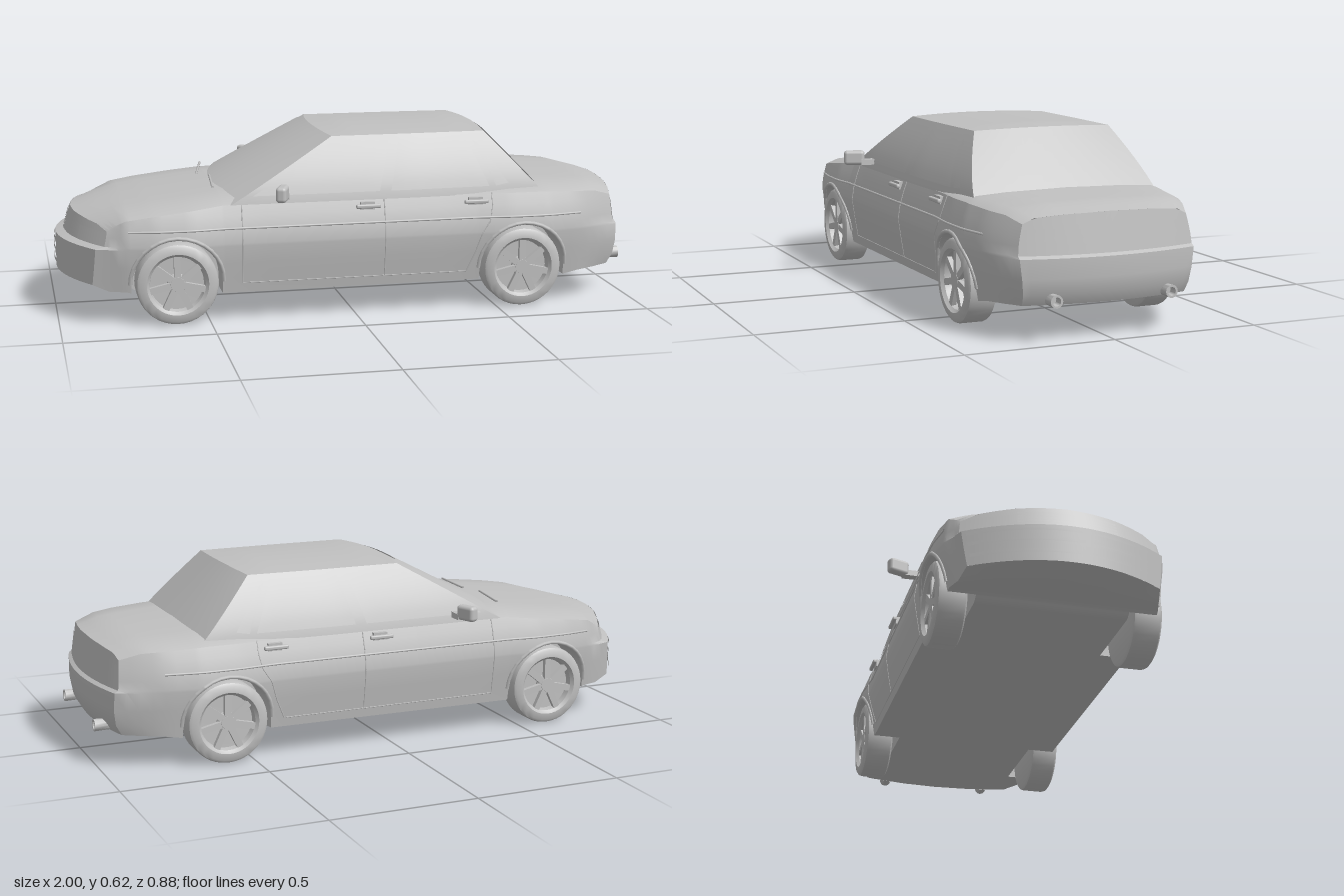
import * as THREE from 'three';
import { toCreasedNormals } from 'three/addons/utils/BufferGeometryUtils.js';
import { RoundedBoxGeometry } from 'three/addons/geometries/RoundedBoxGeometry.js';

const clamp = (v) => Math.min(1, Math.max(0, v));
const lerp = THREE.MathUtils.lerp;
// piecewise linear curve through [position, value] pairs
function curve(pts) {
  return (x) => {
    if (x <= pts[0][0]) return pts[0][1];
    for (let i = 1; i < pts.length; i++) {
      const [a, va] = pts[i - 1], [b, vb] = pts[i];
      if (x <= b) return lerp(va, vb, (x - a) / (b - a));
    }
    return pts[pts.length - 1][1];
  };
}

// body dimensions: the nose is at -x
const NOSE = -0.992, TAIL = 0.998, WHEELS = [-0.61, 0.59], AXLE = 0.14, ARCH = 0.152;
const halfWidth = curve([[-1, 0.325], [-0.88, 0.345], [-0.78, 0.362], [-0.68, 0.378], [-0.56, 0.383], [-0.45, 0.37],
  [0.42, 0.37], [0.55, 0.383], [0.68, 0.383], [0.8, 0.362], [0.9, 0.335], [1, 0.3]]);
const topY = curve([[-1, 0.348], [-0.9, 0.368], [-0.7, 0.397], [-0.45, 0.425], [0.66, 0.428], [0.9, 0.416], [1, 0.395]]);
const sillY = curve([[-1, 0.14], [-0.88, 0.115], [-0.77, 0.115], [-0.74, 0.095], [0.74, 0.1], [0.8, 0.11], [1, 0.115]]);
const bulge = curve([[0.1, 0.93], [0.2, 0.975], [0.265, 1], [0.31, 0.985], [0.36, 0.945], [0.4, 0.905], [0.43, 0.87]]);
const bodyZ = (x, y) => halfWidth(x) * bulge(y);
function bottomY(x) {
  let y = sillY(x);
  for (const c of WHEELS) {
    const d = Math.abs(x - c);
    if (d <= ARCH + 1e-6) y = AXLE + Math.sqrt(Math.max(0, ARCH * ARCH - d * d));
  }
  return y;
}
// bow the ends in plan and step them back above the bumpers
function bodyPoint(s, y, z) {
  const f = clamp((-0.78 - s) / 0.22), r = clamp((s - 0.8) / 0.2), k = z / halfWidth(s);
  const up = y > 0.266 ? y - 0.266 : -1;
  const x = s + f * (0.12 * k * k + (up >= 0 ? 0.03 + up * 0.3 : 0))
    - r * (0.045 * k * k + (up >= 0 ? 0.012 + up * 0.15 : 0) + Math.max(0, 0.165 - y) * 0.6);
  return [x, y, z];
}
const LEVELS = [0.15, 0.2, 0.262, 0.27, 0.3, 0.33, 0.36];
const shoulderY = (s) => topY(s) - 0.03;
const crown = (s, z) => topY(s) - curve([[0, 0], [0.5, 0.004], [0.82, 0.012], [bulge(shoulderY(s)), 0.03]])(Math.abs(z) / halfWidth(s));
// half cross-section from the middle of the floor to the middle of the top
function halfSection(s) {
  const w = halfWidth(s), yu = sillY(s), yb = bottomY(s), ys = shoulderY(s);
  const p = [[yu, 0], [yu, 0.125], [yu, 0.25], [yb, 0.25], [yb, w * bulge(yb)]];
  for (const l of LEVELS) { const y = Math.min(Math.max(l, yb), ys); p.push([y, w * bulge(y)]); }
  p.push([ys, w * bulge(ys)]);
  for (const k of [0.82, 0.5, 0.25, 0]) p.push([crown(s, k * w), k * w]);
  return p;
}

export function createModel() {
  const car = new THREE.Group();
  car.name = 'car';
  const paint = new THREE.MeshStandardMaterial({ color: 0xc0c0c0, side: THREE.DoubleSide });
  paint.name = 'greyPaint';

  const add = (name, geo, parent = car) => {
    const m = new THREE.Mesh(geo, paint);
    m.name = name;
    parent.add(m);
    return m;
  };
  // surface from f(u, v), u and v from 0 to 1
  function patch(name, f, nu, nv, crease = 0.5) {
    const pos = [], idx = [];
    for (let i = 0; i <= nu; i++) for (let j = 0; j <= nv; j++) pos.push(...f(i / nu, j / nv));
    for (let i = 0; i < nu; i++) for (let j = 0; j < nv; j++) {
      const a = i * (nv + 1) + j, b = a + nv + 1;
      idx.push(a, b, a + 1, b, b + 1, a + 1);
    }
    const g = new THREE.BufferGeometry();
    g.setAttribute('position', new THREE.Float32BufferAttribute(pos, 3));
    g.setIndex(idx);
    g.computeVertexNormals();
    return add(name, toCreasedNormals(g, crease));
  }
  const line = (name, pts, r = 0.003) => {
    const path = new THREE.CatmullRomCurve3(pts.map((p) => new THREE.Vector3(...p)), false, 'catmullrom', 0);
    return add(name, new THREE.TubeGeometry(path, pts.length * 6, r, 6));
  };

  // lower body shell, with stations packed around the wheel arches
  const stations = [NOSE, -0.96, -0.92, -0.88, -0.83, -0.78, -0.45, -0.3, -0.1, 0.1, 0.3, 0.42, 0.76, 0.8, 0.85, 0.9, 0.95, TAIL];
  for (const c of WHEELS) {
    for (let i = 0; i <= 20; i++) stations.push(c - ARCH * Math.cos(Math.PI * i / 20));
    stations.push(c - ARCH - 0.001, c + ARCH + 0.001);
  }
  stations.sort((a, b) => a - b);
  const rings = stations.map((s) => {
    const h = halfSection(s);
    const other = h.slice(0, -1).reverse().map(([y, z]) => [y, -z]);
    return [...h, ...other].map(([y, z]) => bodyPoint(s, y, z));
  });
  const nS = rings.length - 1, nR = rings[0].length - 1;
  patch('bodyShell', (u, v) => rings[Math.round(u * nS)][Math.round(v * nR)], nS, nR, 0.6);

  // nose and tail faces
  for (const [name, s] of [['noseFace', NOSE], ['tailFace', TAIL]]) {
    const rows = halfSection(s).slice(4, 6 + LEVELS.length), n = rows.length - 1;
    patch(name, (u, v) => {
      const i = Math.round(u * n), [y, zw] = rows[i], z = (v * 2 - 1) * zw;
      return bodyPoint(s, i === n ? crown(s, z) : y, z);
    }, n, 24);
  }

  // thin plates following the nose or tail
  function endPlate(name, s, k0, k1, y0, y1, off = 0.004) {
    patch(name, (u, v) => {
      const y = lerp(y0, y1, u), p = bodyPoint(s, y, lerp(k0, k1, v) * bodyZ(s, y));
      p[0] += Math.sign(s) * off;
      return p;
    }, 2, 12);
  }
  for (let i = 0; i < 5; i++) endPlate('grilleBar', NOSE, -0.5, 0.5, 0.274 + i * 0.012, 0.281 + i * 0.012);
  for (const y of [0.165, 0.205, 0.24]) endPlate('bumperStrip', NOSE, -0.97, 0.97, y, y + 0.012, 0.006);
  for (const d of [-1, 1]) {
    endPlate('headlight', NOSE, 0.57 * d, 0.99 * d, 0.272, 0.318);
    endPlate('fogLight', NOSE, 0.62 * d, 0.85 * d, 0.182, 0.2);
    endPlate('tailLight', TAIL, 0.62 * d, 0.98 * d, 0.274, 0.35, 0.002);
  }
  endPlate('bootSeam', TAIL, -0.6, 0.6, 0.317, 0.321, 0.002);

  // cabin: sloping screens, tucked-in sides and a crowned roof
  const cabY = (t) => 0.395 + 0.207 * t, cabW = (t) => 0.342 - 0.09 * Math.pow(clamp(t), 1.35);
  const taper = (x) => 1 - 0.05 * clamp((x - 0.2) / 0.47);
  const front = (k, t) => [-0.5 + 0.41 * t + lerp(0.075, 0.025, t) * k * k, cabY(t) + 0.006 * (1 - k * k) * t, k * cabW(t)];
  const rear = (k, t) => {
    const x = 0.685 - 0.195 * t - 0.015 * k * k;
    return [x, cabY(t) + 0.006 * (1 - k * k) * t, k * cabW(t) * taper(x)];
  };
  const cabinZ = (x, y) => cabW((y - 0.395) / 0.207) * taper(x);
  patch('windscreenSurround', (u, v) => front(v * 2 - 1, u), 8, 16);
  patch('rearScreenSurround', (u, v) => rear(v * 2 - 1, u), 8, 16);
  patch('roof', (u, v) => {
    const k = v * 2 - 1, a = front(k, 1), b = rear(k, 1), x = lerp(a[0], b[0], u);
    const rise = 0.007 * (1 - k * k) * Math.min(1, 6 * u, 6 * (1 - u));
    return [x, lerp(a[1], b[1], u) + rise, k * cabW(1) * taper(x)];
  }, 18, 16);
  const glass = (f, dx) => (u, v) => {
    const p = f((v * 2 - 1) * 0.93, lerp(0.12, 0.95, u));
    return [p[0] + dx, p[1] + 0.003, p[2]];
  };
  patch('windscreen', glass(front, -0.002), 8, 16);
  patch('rearScreen', glass(rear, 0.002), 8, 16);

  // parts on both sides
  const windows = {
    frontWindow: [[-0.35, 0.422], [0.085, 0.422], [0.13, 0.584], [-0.07, 0.584]],
    rearWindow: [[0.125, 0.422], [0.475, 0.422], [0.405, 0.584], [0.165, 0.584]],
    quarterWindow: [[0.5, 0.422], [0.545, 0.43], [0.445, 0.565], [0.428, 0.575]],
  };
  for (const d of [1, -1]) {
    patch('cabinSide', (u, t) => {
      const x = lerp(front(1, t)[0], rear(1, t)[0], u);
      return [x, cabY(t), d * cabW(t) * taper(x)];
    }, 12, 8);
    for (const [name, [a, b, c, e]] of Object.entries(windows)) patch(name, (u, v) => {
      const x = lerp(lerp(a[0], b[0], u), lerp(e[0], c[0], u), v), y = lerp(lerp(a[1], b[1], u), lerp(e[1], c[1], u), v);
      return [x, y, d * (cabinZ(x, y) + 0.003)];
    }, 6, 6);

    // side moulding and door gaps
    const onSide = (pts) => pts.map(([x, y]) => [x, y, d * bodyZ(x, y)]);
    line('sideMoulding', onSide([[-0.77, 0.32], [-0.68, 0.32], [-0.56, 0.32], [-0.45, 0.32], [0.42, 0.32], [0.55, 0.32], [0.68, 0.32], [0.8, 0.32]]), 0.004);
    const rise = [0.13, 0.2, 0.265, 0.31, 0.36, 0.4];
    line('frontDoorGap', onSide(rise.map((y) => [-0.39, y])), 0.002);
    line('middleDoorGap', onSide(rise.map((y) => [0.1, y])), 0.002);
    line('rearDoorGap', onSide([[0.39, 0.13], [0.42, 0.2], [0.44, 0.265], [0.47, 0.31], [0.48, 0.36], [0.48, 0.4]]), 0.002);
    line('sillGap', onSide([[-0.39, 0.13], [0.39, 0.13]]), 0.002);

    for (const x of [0.04, 0.42]) {
      add('doorHandle', new RoundedBoxGeometry(0.085, 0.014, 0.014, 2, 0.005)).position.set(x, 0.376, d * 0.362);
      add('handleMount', new THREE.BoxGeometry(0.05, 0.026, 0.02)).position.set(x, 0.376, d * 0.344);
    }

    // door mirror
    const mirror = add('mirror', new RoundedBoxGeometry(0.036, 0.052, 0.074, 3, 0.012));
    mirror.position.set(-0.262, 0.44, d * 0.404);
    mirror.rotation.y = -d * 0.35;
    add('mirrorArm', new THREE.BoxGeometry(0.03, 0.02, 0.06)).position.set(-0.25, 0.424, d * 0.356);

    // exhaust pipe
    const pipe = new THREE.LatheGeometry([[0.019, -0.07], [0.021, 0], [0.014, 0], [0.012, -0.03], [0, -0.03]].map((p) => new THREE.Vector2(...p)), 12);
    const exhaust = add('exhaustPipe', toCreasedNormals(pipe, 0.6));
    exhaust.rotation.z = -Math.PI / 2;
    exhaust.position.set(1, 0.134, d * 0.198);

    // wheels and arch lips
    for (const cx of WHEELS) {
      const lip = [];
      for (let i = 0; i <= 16; i++) {
        const a = Math.PI * i / 16, x = cx + 0.157 * Math.cos(a), y = AXLE + 0.157 * Math.sin(a);
        lip.push([x, y, d * (bodyZ(x, y) - 0.001)]);
      }
      line('archLip', lip, 0.007);

      const wheel = new THREE.Group();
      wheel.name = 'wheel';
      wheel.position.set(cx, AXLE - 0.002, d * 0.32);
      if (d < 0) wheel.rotation.y = Math.PI;
      car.add(wheel);
      const tyre = [[0, -0.05], [0.126, -0.05], [0.135, -0.044], [0.138, -0.036], [0.138, 0.034], [0.135, 0.043], [0.127, 0.049],
        [0.104, 0.051], [0.1, 0.046], [0.094, 0.04], [0.09, 0.018], [0, 0.016]].map((p) => new THREE.Vector2(...p));
      add('tyreAndRim', toCreasedNormals(new THREE.LatheGeometry(tyre, 40).rotateX(Math.PI / 2), 0.6), wheel);
      add('hub', new THREE.CylinderGeometry(0.024, 0.034, 0.026, 16).rotateX(Math.PI / 2), wheel).position.z = 0.029;
      for (let i = 0; i < 7; i++) {
        const spoke = new THREE.BoxGeometry(0.022, 0.078, 0.016).translate(0, 0.056, 0.033);
        add('spoke', spoke.rotateZ(i * Math.PI * 2 / 7), wheel);
      }
    }
  }

  // wipers
  for (const z of [-0.06, 0.2]) line('wiper', [[-0.492 + z * z * 0.6, 0.432, z], [-0.452, 0.436, z - 0.2]], 0.004);
  return car;
}
